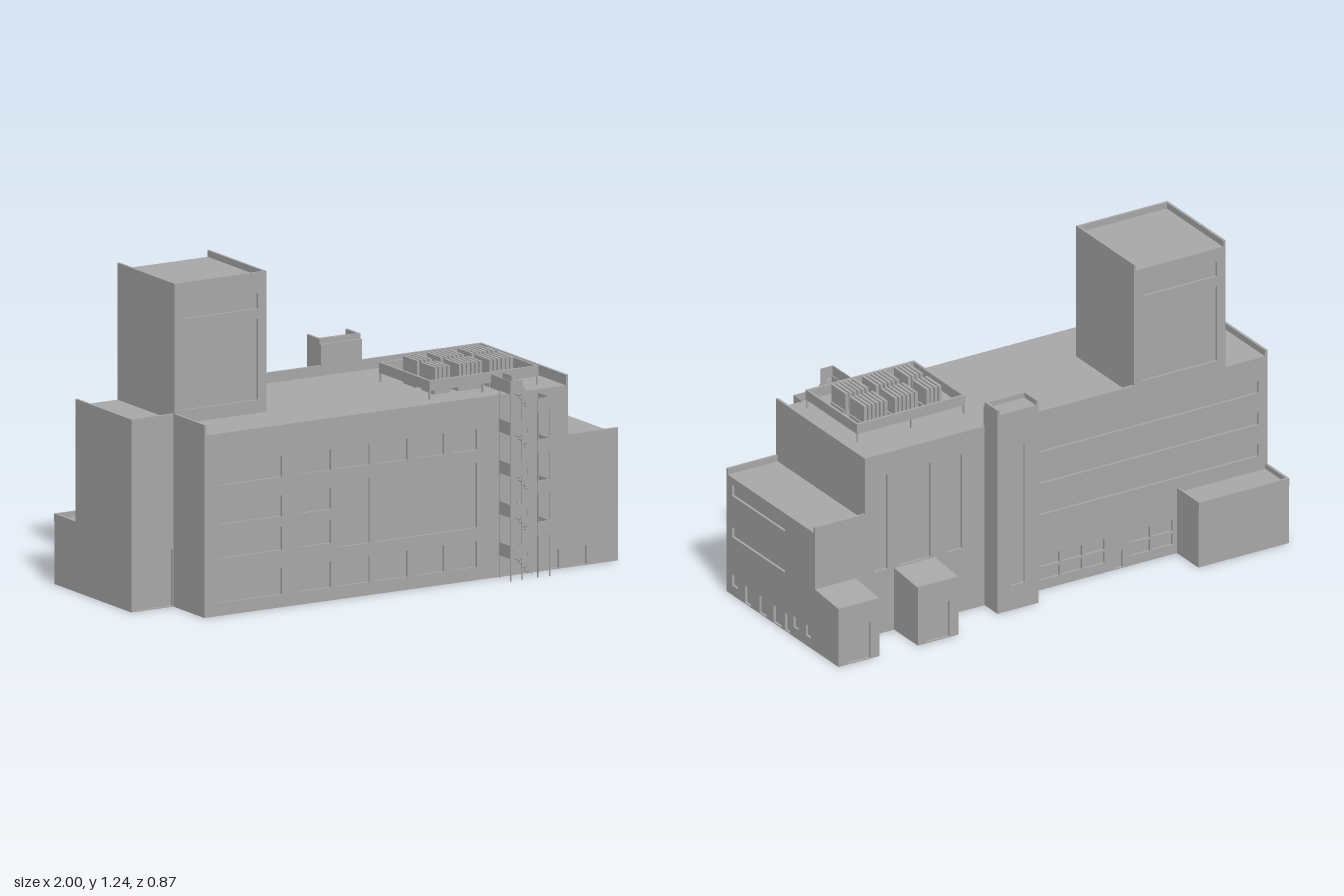
import * as THREE from 'three';

export function createModel() {
  const model = new THREE.Group();
  const concrete = new THREE.MeshStandardMaterial({ color: 0xa8a8a8, side: THREE.DoubleSide });
  concrete.name = 'grey concrete';

  function add(name, geo, parent = model) {
    const mesh = new THREE.Mesh(geo, concrete);
    mesh.name = name;
    parent.add(mesh);
    return mesh;
  }

  // Box given by its limits; shells have no floor
  function block(name, x0, x1, y0, y1, z0, z1, open = false, parent = model) {
    const geo = new THREE.BoxGeometry(x1 - x0, y1 - y0, z1 - z0);
    if (open) {
      const idx = Array.from(geo.index.array);
      idx.splice(18, 6);
      geo.setIndex(idx);
      geo.clearGroups();
    }
    geo.translate((x0 + x1) / 2, (y0 + y1) / 2, (z0 + z1) / 2);
    return add(name, geo, parent);
  }

  // Wall slab with recessed openings; each opening is [u0, u1, y0, y1]
  function facade(name, outline, openings, position, turn = 0) {
    const shape = new THREE.Shape(outline.map(([u, y]) => new THREE.Vector2(u, y)));
    for (const [a, b, c, d] of openings) {
      const hole = new THREE.Path();
      hole.moveTo(a, c).lineTo(a, d).lineTo(b, d).lineTo(b, c).closePath();
      shape.holes.push(hole);
    }
    const mesh = add(name, new THREE.ExtrudeGeometry(shape, { depth: 0.01, bevelEnabled: false }));
    mesh.position.set(...position);
    mesh.rotation.y = turn;
  }
  const rect = (a, b, c, d) => [[a, c], [b, c], [b, d], [a, d]];

  // Main volumes
  block('mainHall', -0.81, 0.775, 0, 0.70, -0.26, 0.34, true);
  block('rightWing', 0.775, 0.99, 0, 0.485, -0.26, 0.34, true);
  block('leftWing', -1, -0.81, 0, 0.715, -0.26, 0.12, true);
  block('tower', -0.815, -0.41, 0.70, 1.215, -0.26, 0.125, true);
  block('serviceShaft', 0.07, 0.25, 0, 0.82, -0.35, -0.26, true);
  block('rearAnnex', -1, -0.6, 0, 0.25, -0.42, -0.27, true);

  // Parapets
  block('mainParapetBack', -0.81, 0.78, 0.70, 0.74, -0.27, -0.26);
  block('mainParapetRight', 0.77, 0.78, 0.48, 0.74, -0.27, 0.35);
  block('mainParapetLeft', -0.815, -0.805, 0, 0.74, 0.12, 0.35);
  block('wingParapetFront', 0.78, 1, 0.48, 0.51, 0.34, 0.35);
  block('wingParapetBack', 0.78, 1, 0.48, 0.51, -0.27, -0.26);
  block('leftWingParapet', -1, -0.99, 0.71, 0.74, -0.27, 0.13);
  block('leftWingParapetFront', -1, -0.81, 0.71, 0.74, 0.12, 0.13);
  for (const [a, b] of [[-0.815, -0.805], [-0.42, -0.41]])
    block('towerParapetSide', a, b, 1.21, 1.24, -0.27, 0.135);
  block('towerParapetFront', -0.815, -0.41, 1.21, 1.24, 0.125, 0.135);
  for (const [a, b] of [[0.07, 0.08], [0.24, 0.25]])
    block('shaftParapetSide', a, b, 0.81, 0.84, -0.36, -0.27);
  block('shaftParapetInner', 0.07, 0.25, 0.74, 0.84, -0.28, -0.27);
  block('annexParapetLeft', -1, -0.99, 0.24, 0.27, -0.425, -0.27);
  block('annexParapetRight', -0.61, -0.6, 0.24, 0.27, -0.425, -0.27);
  block('annexParapetBack', -1, -0.6, 0.24, 0.27, -0.425, -0.415);

  // Front wall
  const front = [];
  const columns = [[-0.75, -0.475], [-0.4, -0.26], [-0.23, -0.09], [-0.065, 0.075], [0.105, 0.235], [0.27, 0.38]];
  columns.forEach(([a, b], i) => {
    front.push([a, b, 0.05, 0.15], [a, b, 0.5, 0.58]);
    if (i < 2) front.push([a, b, 0.22, 0.31], [a, b, 0.35, 0.43]);
  });
  front.push([-0.23, -0.09, 0.2, 0.45], [-0.065, 0.38, 0.2, 0.45]);
  front.push([0.7, 0.74, 0.004, 0.075], [0.82, 0.86, 0.004, 0.075]);
  facade('frontWall', [[-0.81, 0], [1, 0], [1, 0.49], [0.78, 0.49], [0.78, 0.7], [-0.81, 0.7]], front, [0, 0, 0.34]);
  facade('leftWingFrontWall', rect(-1, -0.81, 0, 0.715), [[-0.975, -0.82, 0.004, 0.22]], [0, 0, 0.12]);

  // Right wall, measured along -z
  facade('rightWall', rect(-0.35, 0.27, 0, 0.485), [
    [-0.31, 0.06, 0.24, 0.28], [-0.31, 0.06, 0.41, 0.455],
    [-0.22, -0.18, 0.004, 0.075], [-0.12, -0.07, 0.004, 0.075], [-0.02, 0.035, 0.004, 0.075], [0.06, 0.095, 0.004, 0.075],
    [-0.31, -0.27, 0.04, 0.085], [0.12, 0.155, 0.04, 0.085], [0.205, 0.24, 0.04, 0.085],
  ], [0.99, 0, 0], Math.PI / 2);

  // Back walls, measured along -x
  const back = [[-0.01, 0.96, 0.57, 0.62], [-0.01, 0.96, 0.44, 0.49], [-0.01, 0.96, 0.31, 0.36],
    [-0.74, -0.68, 0.26, 0.65], [-0.63, -0.49, 0.26, 0.65], [-0.42, -0.35, 0.26, 0.65],
    [0.32, 0.36, 0.004, 0.075]];
  for (const start of [-0.01, 0.39])
    for (let i = 0; i < (start < 0 ? 3 : 2); i++)
      for (const y of [0.04, 0.095]) back.push([start + i * 0.1, start + i * 0.1 + 0.09, y, y + 0.045]);
  facade('backWall', [[-1, 0], [1, 0], [1, 0.715], [-0.78, 0.715], [-0.78, 0.49], [-1, 0.49]], back, [0, 0, -0.26], Math.PI);
  facade('shaftBackWall', rect(-0.25, -0.07, 0, 0.82), [[-0.19, -0.13, 0.1, 0.68]], [0, 0, -0.35], Math.PI);
  const towerPanels = (s) => [[s - 0.165, s + 0.165, 1.1, 1.16], [s - 0.165, s + 0.165, 0.75, 1.06]];
  facade('towerFrontWall', rect(-0.815, -0.41, 0.7, 1.215), towerPanels(-0.6125), [0, 0, 0.125]);
  facade('towerBackWall', rect(0.41, 0.815, 0.7, 1.215), towerPanels(0.6125), [0, 0, -0.26], Math.PI);

  // Rear porches with slightly sloping roofs
  for (const x of [0.47, 0.82]) {
    const porch = block('rearPorch', x, x + 0.18, 0, 0.255, -0.425, -0.27, true);
    const p = porch.geometry.attributes.position;
    for (let i = 0; i < p.count; i++) if (p.getY(i) > 0.1 && p.getZ(i) < -0.4) p.setY(i, 0.24);
    porch.geometry.computeVertexNormals();
    facade('porchBackWall', rect(-x - 0.18, -x, 0, 0.24), [[-x - 0.14, -x - 0.04, 0.004, 0.15]], [0, 0, -0.425], Math.PI);
  }

  // Rooftop plant enclosure
  const plant = new THREE.Group();
  plant.name = 'rooftopPlant';
  model.add(plant);
  for (const z of [-0.065, 0.285]) block('screenRail', 0.205, 0.685, 0.735, 0.775, z, z + 0.01, false, plant);
  for (const x of [0.205, 0.675]) block('screenRail', x, x + 0.01, 0.735, 0.775, -0.065, 0.295, false, plant);
  for (const x of [0.207, 0.44, 0.677])
    for (const z of [-0.063, 0.287]) block('screenPost', x, x + 0.006, 0.7, 0.74, z, z + 0.006, false, plant);
  for (const z of [0, 0.13])
    for (const [x0, count] of [[0.27, 4], [0.375, 6], [0.51, 6]]) {
      block('unitBase', x0, x0 + count * 0.018, 0.7, 0.735, z + 0.005, z + 0.095, false, plant);
      for (let i = 0; i < count; i++)
        block('coolingFin', x0 + i * 0.018, x0 + i * 0.018 + 0.012, 0.72, 0.805, z, z + 0.1, false, plant);
    }
  block('roofBridge', 0.475, 0.53, 0.715, 0.722, 0.29, 0.36, false, plant);
  for (const x of [0.475, 0.526]) block('bridgeRail', x, x + 0.004, 0.72, 0.768, 0.29, 0.36, false, plant);

  // Fire escape: landings alternate left and right, joined by short flights
  const stair = new THREE.Group();
  stair.name = 'fireEscape';
  model.add(stair);
  for (const x of [0.475, 0.526, 0.595, 0.646])
    for (const z of [0.357, 0.431]) block('stairPost', x, x + 0.004, 0, x < 0.55 ? 0.73 : 0.65, z, z + 0.004, false, stair);

  function slopedRail(x0, y0, x1, y1, z, height) {
    const s = new THREE.Shape();
    s.moveTo(x0, y0).lineTo(x1, y1).lineTo(x1, y1 + height).lineTo(x0, y0 + height).closePath();
    const geo = new THREE.ExtrudeGeometry(s, { depth: 0.004, bevelEnabled: false });
    add('flightRail', geo.translate(0, 0, z), stair);
  }

  for (let i = 0; i < 9; i++) {
    const left = i % 2 === 0;
    const y = 0.085 + i * 0.079;
    const x = left ? 0.475 : 0.595;
    block('landing', x, x + 0.055, y, y + 0.005, 0.35, 0.435, false, stair);
    block('landingFrontPanel', x, x + 0.055, y, y + 0.05, 0.431, 0.435, false, stair);
    const outer = left ? 0.475 : 0.646;
    block('landingSidePanel', outer, outer + 0.004, y, y + 0.05, 0.355, 0.435, false, stair);
    // Flight arriving at this landing from the one below
    const z = left ? 0.357 : 0.395;
    const [from, to] = left ? [0.595, 0.53] : [0.53, 0.595];
    for (const rz of [z, z + 0.034]) slopedRail(from, y - 0.079, to, y, rz, 0.045);
    for (let k = 0; k < 5; k++) {
      const cx = from + (to - from) * (k + 0.5) / 5;
      const cy = y - 0.079 + 0.079 * (k + 0.5) / 5;
      block('tread', cx - 0.007, cx + 0.007, cy, cy + 0.004, z, z + 0.038, false, stair);
    }
  }
  return model;
}
